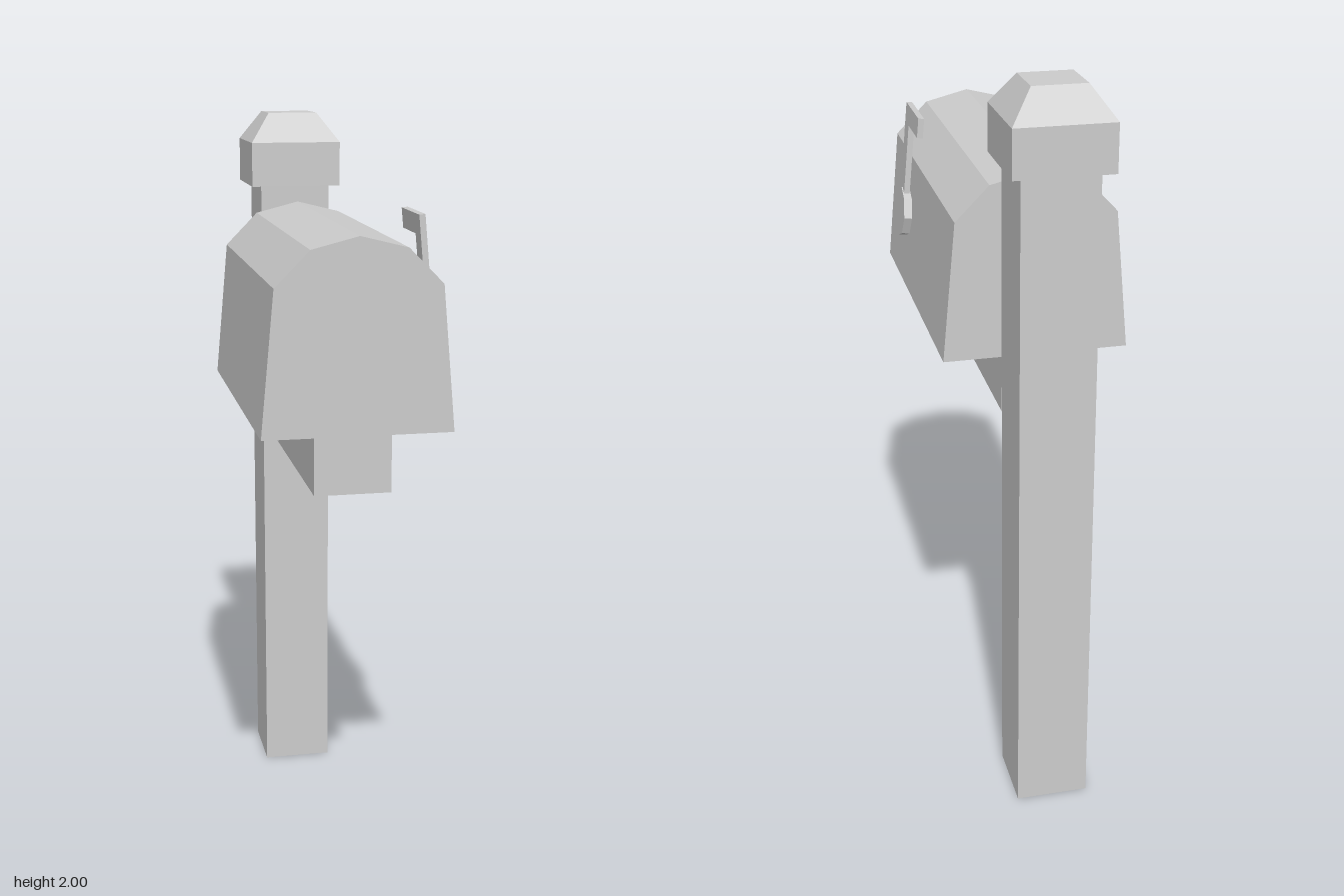
import * as THREE from 'three';

const material = new THREE.MeshStandardMaterial({ color: 0xcccccc, flatShading: true });

function part(name, geometry, x, y, z, parent) {
  const mesh = new THREE.Mesh(geometry, material);
  mesh.name = name;
  mesh.position.set(x, y, z);
  parent.add(mesh);
  return mesh;
}

// Closed outline from [x, y] pairs, extruded along z
function extrude(points, depth) {
  const shape = new THREE.Shape(points.map(([x, y]) => new THREE.Vector2(x, y)));
  return new THREE.ExtrudeGeometry(shape, { depth, bevelEnabled: false });
}

// Square frustum given by half widths
function frustum(top, bottom, height) {
  return new THREE.CylinderGeometry(top * Math.SQRT2, bottom * Math.SQRT2, height, 4, 1).rotateY(Math.PI / 4);
}

export function createModel() {
  const model = new THREE.Group();
  model.name = 'mailbox';
  const postX = -0.013, postZ = -0.411, postWidth = 0.196;

  // Post and the arm that carries the box
  part('post', new THREE.BoxGeometry(postWidth, 1.8, postWidth), postX, 0.9, postZ, model);
  part('supportArm', new THREE.BoxGeometry(postWidth, 0.155, 0.822), postX, 1.1875, 0.099, model);

  // Post cap: square block with a sloped top
  const cap = new THREE.Group();
  cap.name = 'postCap';
  cap.position.set(-0.014, 0, -0.411);
  model.add(cap);
  part('capBlock', new THREE.BoxGeometry(0.253, 0.122, 0.253), 0, 1.859, 0, cap);
  part('capTop', frustum(0.069, 0.1265, 0.08), 0, 1.96, 0, cap);

  // Box body: tapered walls under a faceted, arched roof
  const half = [[0.242, 1.265], [0.208, 1.633], [0.12, 1.722]];
  const outline = [...half, [0, 1.752], ...half.map(([x, y]) => [-x, y]).reverse()];
  part('boxBody', extrude(outline, 0.85), -0.005, 0, -0.313, model);

  // Signal flag, leaning with the side wall
  const flag = new THREE.Group();
  flag.name = 'flag';
  flag.position.set(0.229, 1.472, 0.297);
  flag.rotation.z = 0.094;
  model.add(flag);
  part('flagPivot', new THREE.CylinderGeometry(0.07, 0.07, 0.022, 8).rotateZ(Math.PI / 2), 0, 0, 0, flag);
  const lever = [[-0.028, 0], [0.026, 0], [0.026, 0.253], [0.158, 0.253], [0.158, 0.306], [-0.028, 0.306]];
  part('flagLever', extrude(lever, 0.016).rotateY(Math.PI / 2), -0.008, 0, 0, flag);

  return model;
}
